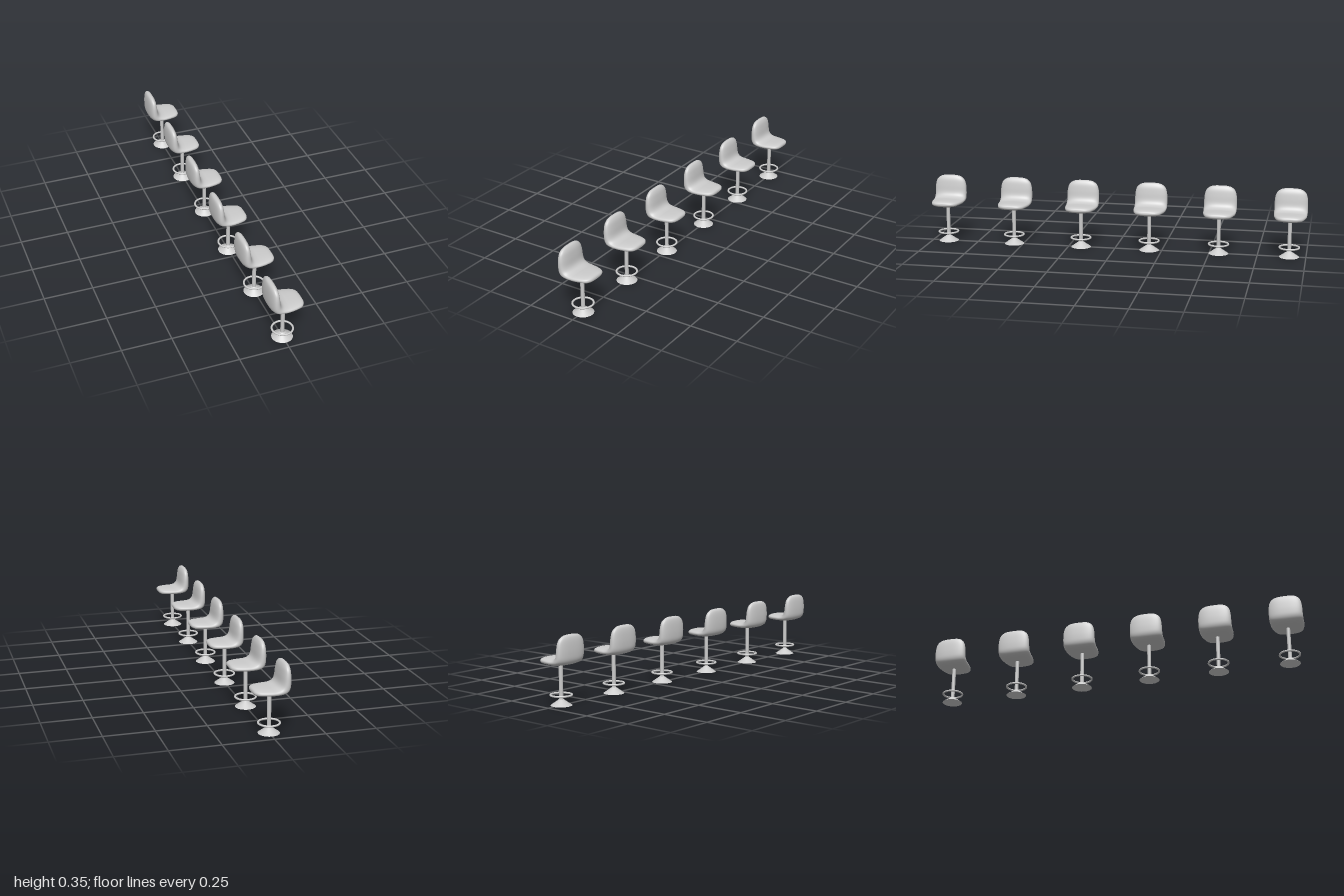
import * as THREE from 'three';

const material = new THREE.MeshStandardMaterial({ color: 0xcccccc });
const openMaterial = new THREE.MeshStandardMaterial({ color: 0xcccccc, side: THREE.DoubleSide });

// Cushion stations from the top of the back, round the bend, to the seat front:
// [outer x, outer y, inner x, inner y, half width]
const stations = [
  [-0.066, 0.348, -0.066, 0.348, 0],
  [-0.072, 0.3465, -0.060, 0.3465, 0.034],
  [-0.080, 0.339, -0.053, 0.339, 0.058],
  [-0.085, 0.322, -0.046, 0.322, 0.076],
  [-0.088, 0.295, -0.041, 0.293, 0.084],
  [-0.089, 0.260, -0.037, 0.262, 0.086],
  [-0.086, 0.228, -0.030, 0.245, 0.086],
  [-0.073, 0.209, -0.018, 0.235, 0.086],
  [-0.045, 0.200, 0.000, 0.231, 0.085],
  [0.000, 0.197, 0.016, 0.231, 0.083],
  [0.040, 0.197, 0.045, 0.231, 0.076],
  [0.068, 0.198, 0.068, 0.230, 0.066],
  [0.082, 0.203, 0.082, 0.226, 0.050],
  [0.0875, 0.209, 0.0875, 0.219, 0.030],
  [0.088, 0.214, 0.088, 0.214, 0],
];

// Sweeps a rounded cross-section through the stations
function cushionGeometry(rings = 56, sides = 36) {
  const outer = new THREE.CatmullRomCurve3(stations.map(s => new THREE.Vector3(s[0], s[1], s[4])), false, 'catmullrom');
  const inner = new THREE.CatmullRomCurve3(stations.map(s => new THREE.Vector3(s[2], s[3], s[4])), false, 'catmullrom');
  const round = v => Math.sign(v) * Math.abs(v) ** 0.8;
  const positions = [], index = [];
  for (let i = 0; i <= rings; i++) {
    const o = outer.getPoint(i / rings), n = inner.getPoint(i / rings);
    for (let j = 0; j < sides; j++) {
      const a = (j / sides) * Math.PI * 2;
      const k = 0.5 + 0.5 * round(Math.cos(a));
      positions.push(o.x + (n.x - o.x) * k, o.y + (n.y - o.y) * k, o.z * round(Math.sin(a)));
      if (i === rings) continue;
      const p = i * sides + j, q = i * sides + (j + 1) % sides;
      if (i > 0) index.push(p, q, p + sides);
      if (i < rings - 1) index.push(q, q + sides, p + sides);
      else index.push(q, q + sides, p + sides);
    }
  }
  const geometry = new THREE.BufferGeometry();
  geometry.setAttribute('position', new THREE.Float32BufferAttribute(positions, 3));
  geometry.setIndex(index);
  geometry.computeVertexNormals();
  // End points face straight out along the cushion
  const normal = geometry.attributes.normal;
  for (let j = 0; j < sides; j++) {
    normal.setXYZ(j, 0, 1, 0);
    normal.setXYZ(rings * sides + j, 1, 0, 0);
  }
  return geometry;
}

export function createModel() {
  const model = new THREE.Group();
  model.name = 'barStoolRow';

  const cushion = cushionGeometry();
  const post = new THREE.CylinderGeometry(0.01, 0.01, 0.18, 24).translate(0, 0.115, 0);
  const footRing = new THREE.TorusGeometry(0.051, 0.005, 12, 48).rotateX(Math.PI / 2).translate(0, 0.05, 0);
  // Flared foot, hollow underneath
  const base = new THREE.CylinderGeometry(0.01, 0.052, 0.03, 40, 1, true).translate(0, 0.015, 0);

  const parts = [
    ['cushion', cushion, material],
    ['post', post, material],
    ['footRing', footRing, material],
    ['base', base, openMaterial],
  ];

  // Six stools in a line along z
  for (let i = 0; i < 6; i++) {
    const stool = new THREE.Group();
    stool.name = `stool${i + 1}`;
    for (const [name, geometry, mat] of parts) {
      const mesh = new THREE.Mesh(geometry, mat);
      mesh.name = name;
      stool.add(mesh);
    }
    stool.position.z = (i - 2.5) * 0.3655;
    model.add(stool);
  }
  return model;
}
